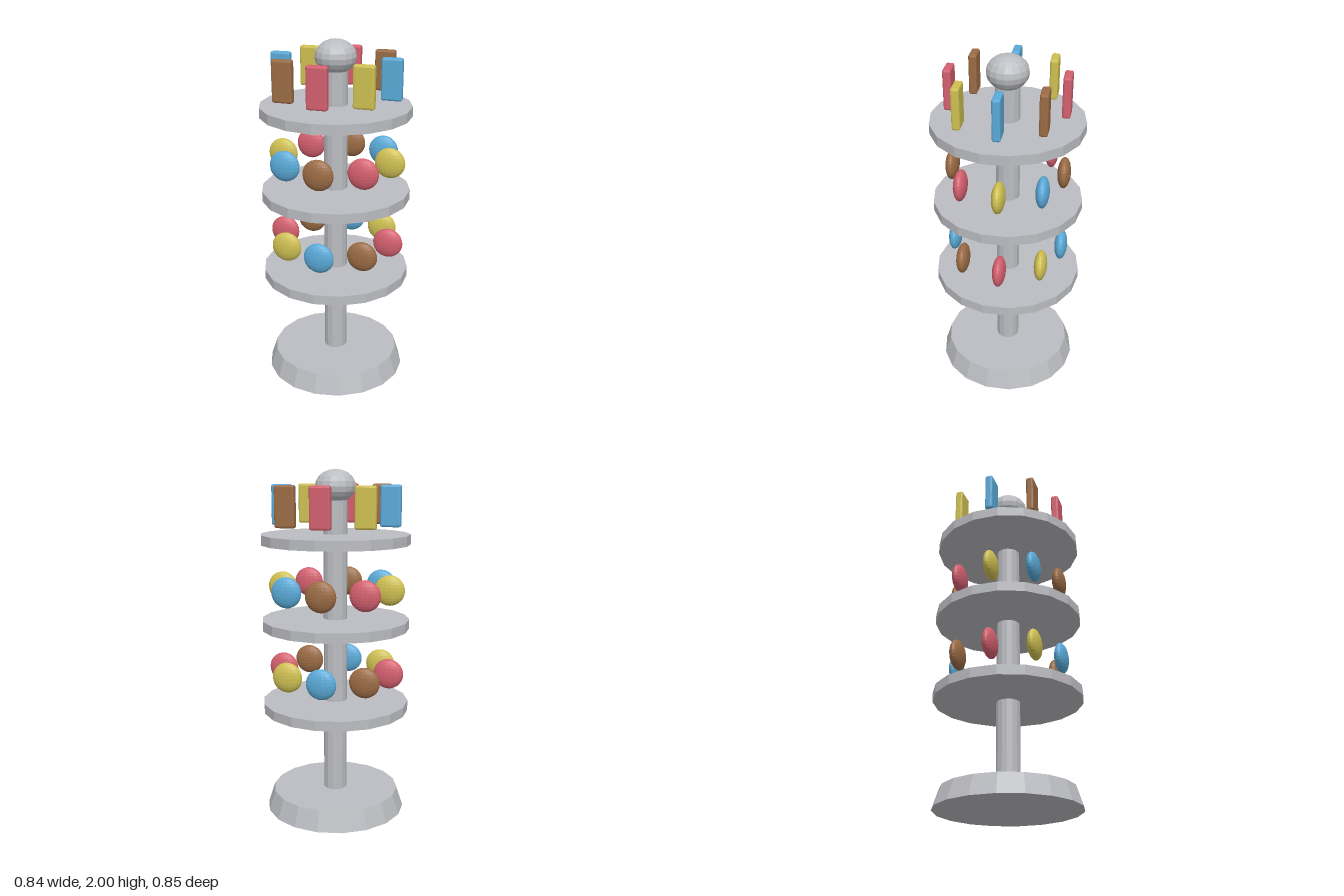
import * as THREE from 'three';
import { RoundedBoxGeometry } from 'three/addons/geometries/RoundedBoxGeometry.js';

const flat = (color, name) => {
  const m = new THREE.MeshStandardMaterial({ color, flatShading: true });
  m.name = name;
  return m;
};

export function createModel() {
  const model = new THREE.Group();
  model.name = 'displayStand';

  const grey = flat(0xbcbdc2, 'grey metal');
  const candy = [
    flat(0xd4606f, 'red'),
    flat(0xcfc052, 'yellow'),
    flat(0x5aaad8, 'blue'),
    flat(0x9b6c45, 'brown'),
  ];

  const add = (parent, name, geometry, material, x, y, z) => {
    const mesh = new THREE.Mesh(geometry, material);
    mesh.name = name;
    mesh.position.set(x, y, z);
    parent.add(mesh);
    return mesh;
  };

  // Tapered foot, centre pole and flattened knob
  add(model, 'base', new THREE.CylinderGeometry(0.372, 0.41, 0.115, 18), grey, 0, 0.0575, 0);
  add(model, 'pole', new THREE.CylinderGeometry(0.068, 0.068, 1.78, 14), grey, 0, 1.0, 0);
  const knob = new THREE.SphereGeometry(0.116, 16, 10).scale(1, 0.81, 1);
  add(model, 'knob', knob, grey, 0, 1.906, 0);

  // Goods: flattened lozenges on the lower shelves, upright bars on top
  const lozenge = new THREE.SphereGeometry(0.0875, 18, 14).scale(1, 1, 0.43);
  const bar = new RoundedBoxGeometry(0.116, 0.23, 0.046, 1, 0.011);
  const shelf = new THREE.CylinderGeometry(0.427, 0.427, 0.056, 18);

  const tiers = [
    { name: 'lower', shelfY: 0.638, item: 'lozenge', geometry: lozenge, itemY: 0.841, shift: 2 },
    { name: 'middle', shelfY: 1.127, item: 'lozenge', geometry: lozenge, itemY: 1.329, shift: 3 },
    { name: 'top', shelfY: 1.613, item: 'bar', geometry: bar, itemY: 1.8, shift: 0 },
  ];

  // Each tier is a round shelf with eight goods in a ring, all facing the front
  for (const t of tiers) {
    const tier = new THREE.Group();
    tier.name = t.name + 'Tier';
    add(tier, 'shelf', shelf, grey, 0, t.shelfY, 0);
    for (let i = 0; i < 8; i++) {
      const a = (i * Math.PI) / 4;
      add(tier, t.item, t.geometry, candy[(i + t.shift) % 4],
        0.317 * Math.sin(a), t.itemY, 0.317 * Math.cos(a));
    }
    model.add(tier);
  }
  return model;
}
